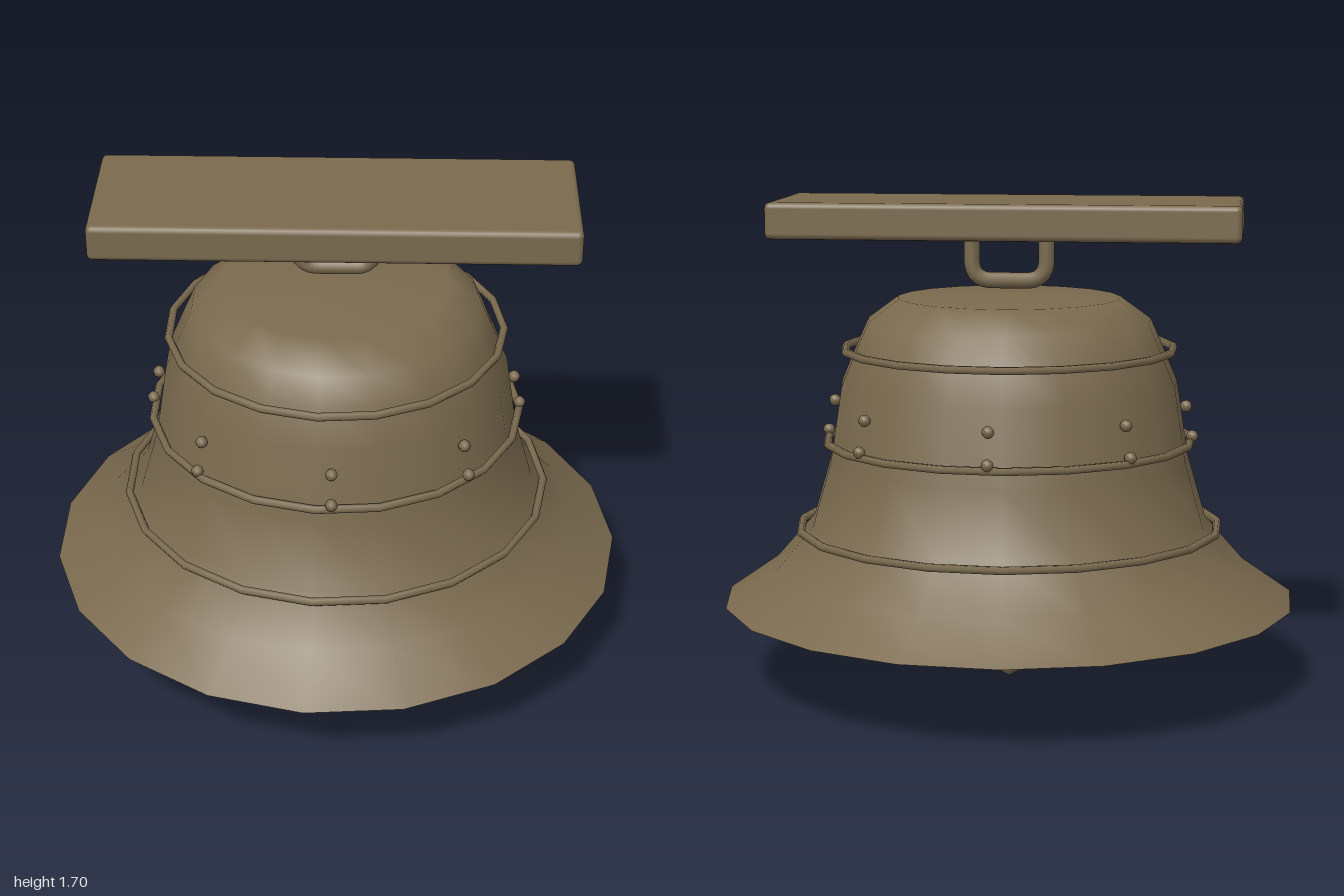
import * as THREE from 'three';
import { RoundedBoxGeometry } from 'three/addons/geometries/RoundedBoxGeometry.js';

export function createModel() {
  const group = new THREE.Group();
  const bronze = new THREE.MeshStandardMaterial({ color: 0x7a6a4e });
  bronze.name = 'agedBronze';
  const CX = -0.007; // shared axis of the bell parts
  const SIDES = 19;

  function add(name, geometry, x = CX, y = 0, z = 0) {
    const mesh = new THREE.Mesh(geometry, bronze);
    mesh.name = name;
    mesh.position.set(x, y, z);
    group.add(mesh);
    return mesh;
  }
  // Turned shape with a corner on +x
  function lathe(points, sides) {
    const pts = points.map(([r, y]) => new THREE.Vector2(r, y));
    return new THREE.LatheGeometry(pts, sides).rotateY(Math.PI / 2);
  }

  // Flared bell body, from lip to crown
  add('bellBody', lathe([
    [1.003, 0.3], [0.83, 0.42], [0.695, 0.575], [0.63, 0.8], [0.59, 1.06],
    [0.535, 1.19], [0.495, 1.28], [0.388, 1.358], [0, 1.37],
  ], SIDES));
  // Flat closed underside
  add('bellUnderside', new THREE.CircleGeometry(1.003, SIDES).rotateX(Math.PI / 2), CX, 0.3);

  // Raised bands around the body
  for (const [r, y] of [[0.575, 1.18], [0.64, 0.86], [0.738, 0.555]]) {
    add('band', new THREE.TorusGeometry(r, 0.014, 6, SIDES).rotateX(Math.PI / 2), CX, y);
  }

  // Two rows of eight studs
  const studGeometry = new THREE.SphereGeometry(0.021, 8, 6);
  for (const [r, y] of [[0.617, 0.985], [0.64, 0.88]]) {
    for (let i = 0; i < 8; i++) {
      const a = (i * Math.PI) / 4;
      add('stud', studGeometry, CX + r * Math.cos(a), y, r * Math.sin(a));
    }
  }

  // Clapper: rod and six-sided weight
  add('clapperRod', new THREE.CylinderGeometry(0.027, 0.027, 0.2, 8), CX, 0.3);
  add('clapperWeight', lathe([
    [0, 0], [0.083, 0.05], [0.083, 0.195], [0.062, 0.22], [0, 0.222],
  ], 6));

  // U-shaped hanger below the beam
  const V = (x, y) => new THREE.Vector3(x, y, 0);
  const path = new THREE.CurvePath();
  const w = 0.13, low = 1.415, high = 1.6, c = 0.07;
  path.add(new THREE.LineCurve3(V(-w, high), V(-w, low + c)));
  path.add(new THREE.QuadraticBezierCurve3(V(-w, low + c), V(-w, low), V(-w + c, low)));
  path.add(new THREE.LineCurve3(V(-w + c, low), V(w - c, low)));
  path.add(new THREE.QuadraticBezierCurve3(V(w - c, low), V(w, low), V(w, low + c)));
  path.add(new THREE.LineCurve3(V(w, low + c), V(w, high)));
  add('hanger', new THREE.TubeGeometry(path, 32, 0.028, 8, false));

  // Supporting beam with softened edges
  add('beam', new RoundedBoxGeometry(1.61, 0.125, 0.535, 2, 0.02), CX, 1.633);

  return group;
}
